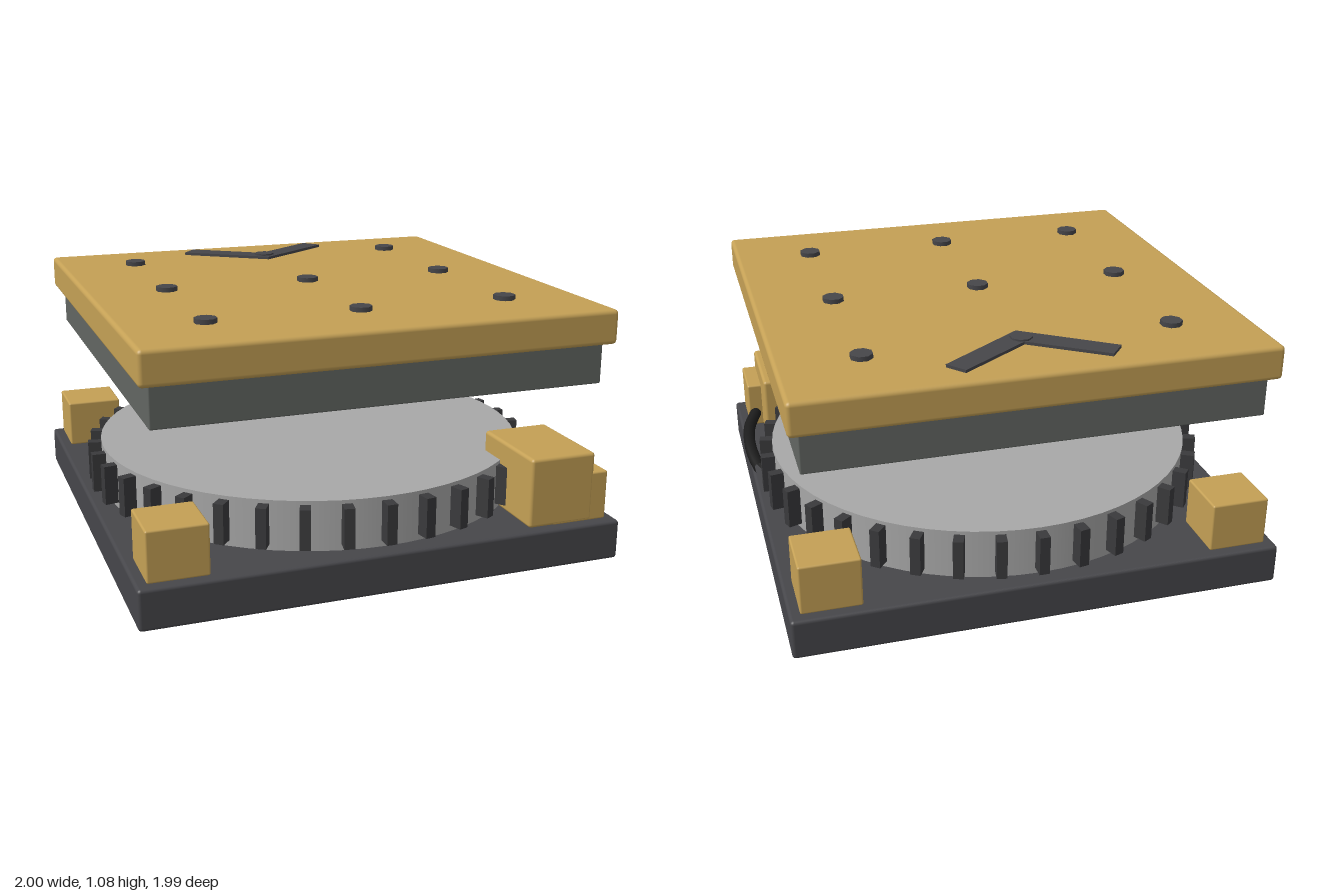
import * as THREE from 'three';
import { RoundedBoxGeometry } from 'three/addons/geometries/RoundedBoxGeometry.js';

const material = (color) => new THREE.MeshStandardMaterial({ color });

export function createModel() {
  const model = new THREE.Group();
  const body = new THREE.Group();
  body.name = 'body';
  body.position.x = -0.007; // the cable overhangs the +x side
  model.add(body);

  const gold = material(0xc4a055);
  const dark = material(0x46464a);
  const slate = material(0x626662);
  const steel = material(0xa8a8a8);
  const toothDark = material(0x3a3a3c);
  const black = material(0x1c1c1c);
  black.side = THREE.DoubleSide;

  function add(name, geometry, mat, x = 0, y = 0, z = 0) {
    const mesh = new THREE.Mesh(geometry, mat);
    mesh.name = name;
    mesh.position.set(x, y, z);
    body.add(mesh);
    return mesh;
  }

  // Box given by its lower and upper corners
  function block(name, mat, [x0, y0, z0], [x1, y1, z1], radius) {
    const geometry = new RoundedBoxGeometry(x1 - x0, y1 - y0, z1 - z0, 3, radius);
    return add(name, geometry, mat, (x0 + x1) / 2, (y0 + y1) / 2, (z0 + z1) / 2);
  }

  // Base and the pins under its corners
  block('base', dark, [-0.993, 0.03, -0.993], [0.993, 0.195, 0.993], 0.014);
  const pin = new THREE.CylinderGeometry(0.028, 0.028, 0.04, 12);
  for (const x of [-0.83, 0.83]) {
    for (const z of [-0.83, 0.83]) {
      add('footPin', pin, steel, x, 0.02, z);
      // Corner blocks
      block('cornerBlock', gold, [x - 0.12, 0.195, z - 0.12], [x + 0.12, 0.4, z + 0.12], 0.008);
    }
  }

  // Larger housing beside the front left corner block
  block('housing', gold, [0.602, 0.195, 0.545], [0.887, 0.485, 0.951], 0.014);

  // Round plate with teeth around its rim
  add('disc', new THREE.CylinderGeometry(0.914, 0.914, 0.21, 64), steel, 0, 0.295, 0);
  const tooth = new THREE.BoxGeometry(0.042, 0.165, 0.07);
  const toothCount = 36;
  for (let i = 0; i < toothCount; i++) {
    const a = (i / toothCount) * Math.PI * 2;
    const mesh = add('tooth', tooth, toothDark, Math.sin(a) * 0.935, 0.3025, Math.cos(a) * 0.935);
    mesh.rotation.y = a;
  }

  // Floating upper plates
  block('lowerPlate', slate, [-0.911, 0.76, -0.911], [0.911, 0.926, 0.911], 0.006);
  block('topPlate', gold, [-0.952, 0.925, -0.952], [0.952, 1.064, 0.952], 0.018);

  // Grid of studs on the top
  const stud = new THREE.CylinderGeometry(0.045, 0.045, 0.026, 8);
  stud.rotateY(Math.PI / 8);
  for (const x of [-0.622, 0, 0.622]) {
    for (const z of [-0.622, 0, 0.622]) add('stud', stud, dark, x, 1.07, z);
  }

  // Chevron mark, its point towards the middle
  const outline = [[0, 0.548], [0.343, 0.795], [0.285, 0.866], [0, 0.666], [-0.285, 0.866], [-0.343, 0.795]];
  const shape = new THREE.Shape(outline.map(([x, y]) => new THREE.Vector2(x, y)));
  const chevron = new THREE.ExtrudeGeometry(shape, { depth: 0.014, bevelEnabled: false });
  chevron.rotateX(-Math.PI / 2);
  add('chevron', chevron, dark, 0, 1.062, 0);

  // Cable running back from the corner block along the +x edge
  const path = new THREE.CatmullRomCurve3([
    new THREE.Vector3(0.92, 0.257, 0.715),
    new THREE.Vector3(0.962, 0.241, 0.6),
    new THREE.Vector3(0.98, 0.232, 0.45),
    new THREE.Vector3(0.976, 0.222, 0.32),
    new THREE.Vector3(0.962, 0.216, 0.21),
  ]);
  add('cable', new THREE.TubeGeometry(path, 32, 0.027, 10), black);

  return model;
}
